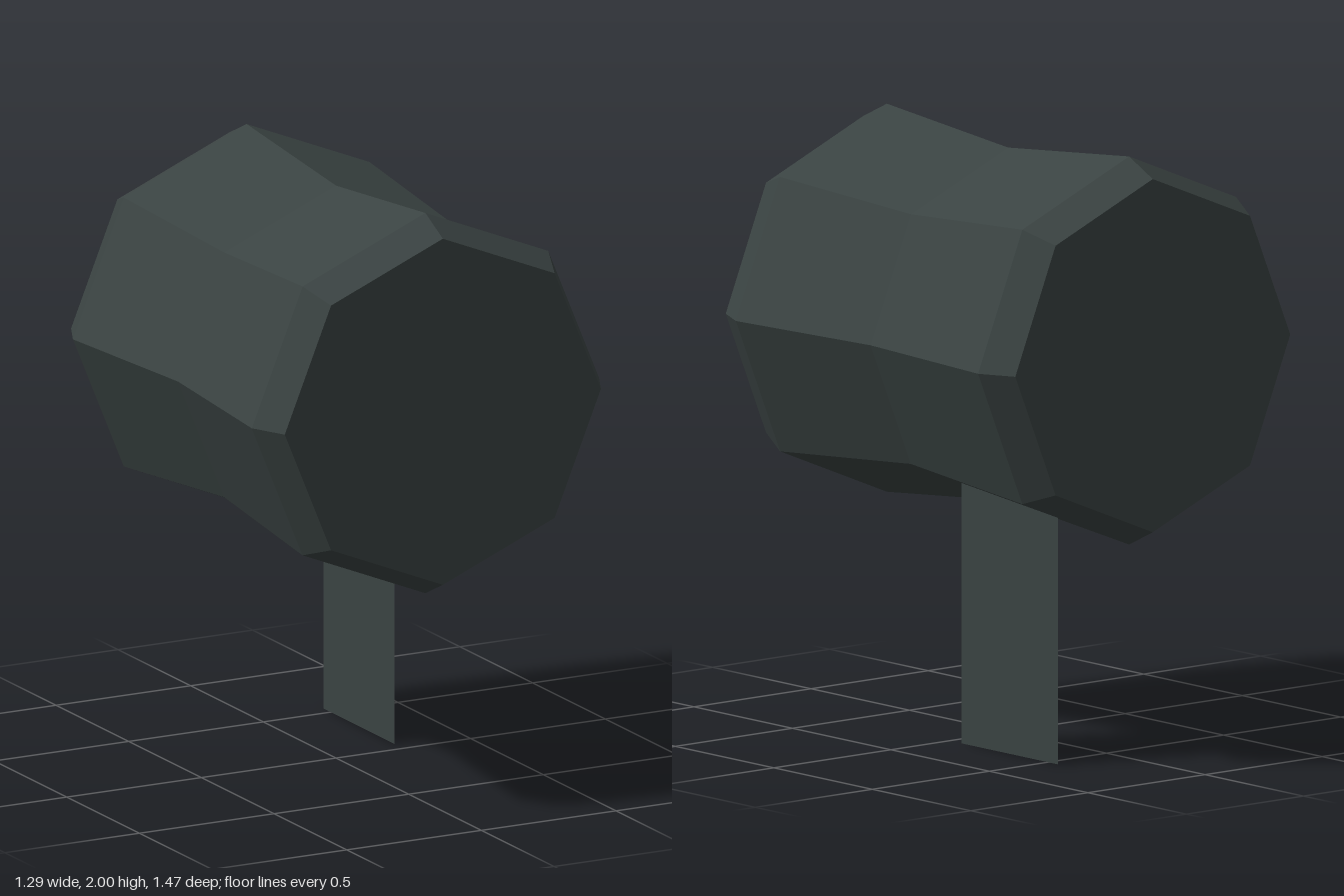
import * as THREE from 'three';

export function createModel() {
  const group = new THREE.Group();
  const darkSlate = new THREE.MeshStandardMaterial({ color: 0x3a4342, flatShading: true, side: THREE.DoubleSide });
  darkSlate.name = 'darkSlate';

  // Eight-sided head: bevelled ends and a pinched waist, lying along z
  const profile = [
    [0, -0.735], [0.587, -0.735], [0.645, -0.615], [0.587, 0],
    [0.645, 0.615], [0.587, 0.735], [0, 0.735],
  ].map(([r, y]) => new THREE.Vector2(r, y));
  const head = new THREE.Mesh(new THREE.LatheGeometry(profile, 8).rotateX(Math.PI / 2), darkSlate);
  head.name = 'head';
  head.position.y = 1.355;
  group.add(head);

  // Thin flat strip hanging off-centre, its top hidden inside the head
  const strip = new THREE.Mesh(new THREE.PlaneGeometry(0.49, 1).rotateY(Math.PI / 2), darkSlate);
  strip.name = 'hangingStrip';
  strip.position.set(0.25, 0.5, -0.305);
  group.add(strip);

  return group;
}
